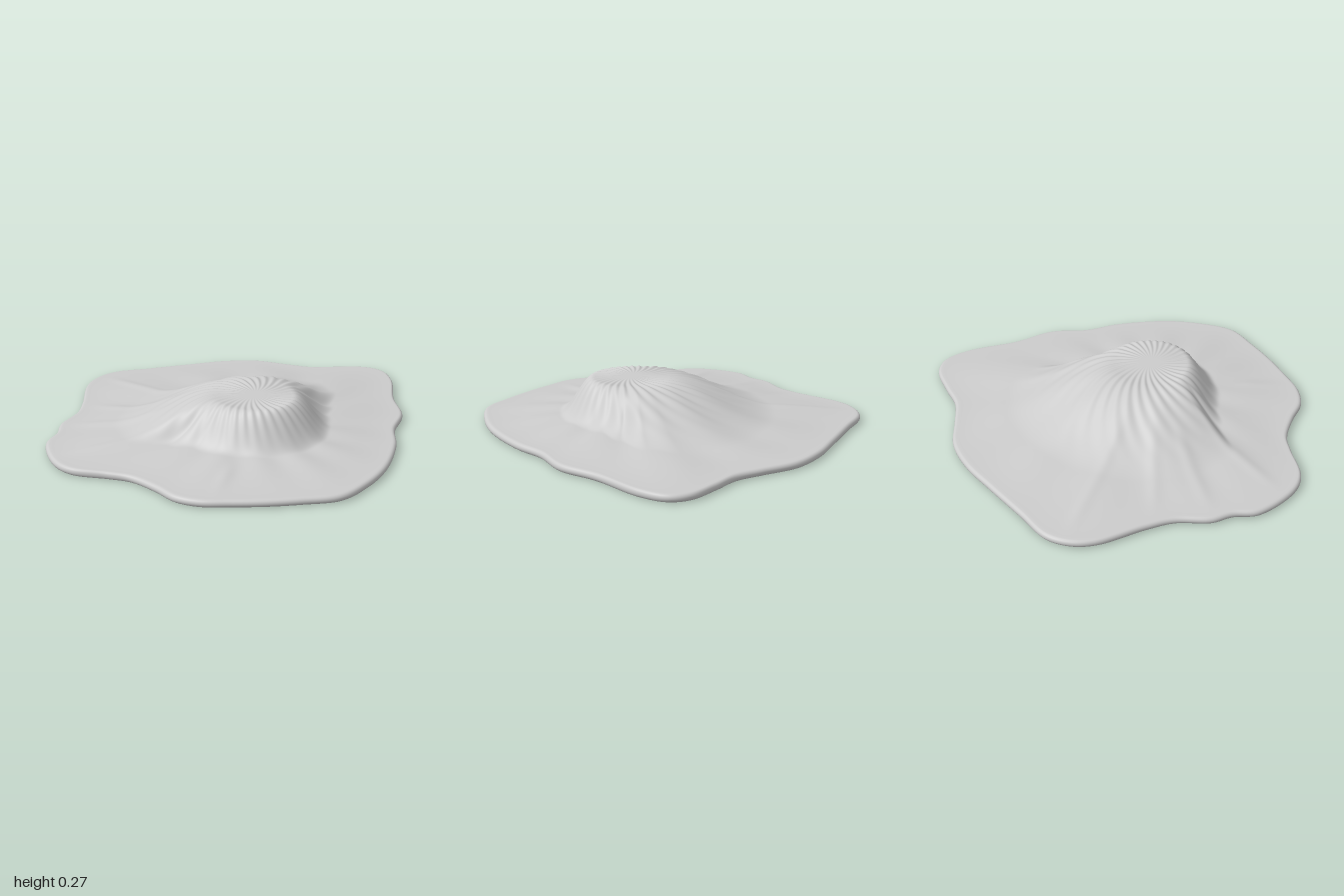
import * as THREE from 'three';

const CX = 0.15, CZ = 0.15;          // middle of the raised crown
const RIM = 0.021;                   // half thickness of the rounded hem
const COLS = 360, RINGS = 80, ARC = 8;

// wavy outline of the sheet, x and z
const OUTLINE = [
  [0, -1], [0.2, -0.965], [0.36, -0.94], [0.52, -0.97], [0.7, -0.99], [0.8, -0.94], [0.86, -0.8],
  [0.885, -0.5], [0.94, -0.27], [0.905, -0.05], [0.92, 0.15], [0.88, 0.45], [0.8, 0.65], [0.68, 0.82],
  [0.5, 0.89], [0.33, 0.94], [0.15, 0.975], [0, 0.995], [-0.13, 0.965], [-0.25, 0.87], [-0.4, 0.78],
  [-0.52, 0.76], [-0.72, 0.74], [-0.83, 0.66], [-0.94, 0.43], [-0.92, 0.3], [-0.935, 0.18],
  [-0.89, 0], [-0.9, -0.15], [-0.945, -0.42], [-0.92, -0.55], [-0.84, -0.66], [-0.65, -0.75],
  [-0.4, -0.87], [-0.2, -0.96],
];

// distance of the slope's foot from the crown's middle, by angle in degrees from +x towards +z
const FOOT = [
  [0, 0.41], [45, 0.4], [90, 0.385], [115, 0.4], [130, 0.42], [145, 0.51], [158, 0.72], [180, 0.78],
  [225, 0.8], [270, 0.82], [290, 0.8], [302, 0.72], [315, 0.55], [330, 0.45], [345, 0.42], [360, 0.41],
];

const smooth = THREE.MathUtils.smoothstep;
const lerp = THREE.MathUtils.lerp;

function footAt(angle) {
  const deg = ((angle * 180 / Math.PI) + 360) % 360;
  const k = FOOT.findIndex(([a], n) => n > 0 && deg <= a);
  const [a0, r0] = FOOT[k - 1], [a1, r1] = FOOT[k];
  return lerp(r0, r1, smooth(deg, a0, a1));
}

// height of the cloth: flat crown, slope, then a brim that falls gently to the hem
function heightAt(r, angle, edge) {
  const foot = footAt(angle);
  const brim = lerp(0.075, 2 * RIM, smooth(r, foot * 0.8, edge));
  let y = lerp(0.27, brim, smooth(r, 0.21, foot));
  // swirling gathers round the crown
  const gather = smooth(r, 0.04, 0.24) * (1 - smooth(r, 0.26, foot * 0.95));
  y -= 0.007 * gather * (0.5 + 0.5 * Math.cos(34 * (angle + 1.1 * r)));
  // broad soft folds running out over the long slope
  const fold = smooth(r, 0.25, 0.45) * (1 - smooth(r, foot, edge));
  y += 0.004 * fold * Math.cos(13 * angle + 2 * r);
  // a few faint creases that reach the hem
  for (const a of [1.68, 2.72, 3.1, 3.38, 3.75]) {
    const d = (((angle + 2 * Math.PI) % (2 * Math.PI)) - a) * r / 0.035;
    y += 0.006 * Math.exp(-d * d) * smooth(r, 0.4, 0.6) * (1 - smooth(r, edge - 0.25, edge));
  }
  return y;
}

export function createModel() {
  const group = new THREE.Group();
  group.name = 'drapedCloth';
  const material = new THREE.MeshStandardMaterial({ color: 0xcccccc });
  const curve = new THREE.CatmullRomCurve3(OUTLINE.map(([x, z]) => new THREE.Vector3(x, 0, z)), true);
  const rim = curve.getSpacedPoints(COLS).slice(0, COLS);

  // cloth top and rounded hem, one radial cross-section per column
  const rows = RINGS + ARC + 1;
  const pos = [], index = [];
  const base = new THREE.Shape();
  rim.forEach((p, j) => {
    const dx = p.x - CX, dz = p.z - CZ;
    const R = Math.hypot(dx, dz), angle = Math.atan2(dz, dx), inner = R - RIM;
    const put = (r, y) => pos.push(CX + dx / R * r, y, CZ + dz / R * r);
    for (let i = 0; i <= RINGS; i++) {
      const r = inner * Math.max(i / RINGS, 0.0005);
      put(r, heightAt(r, angle, inner));
    }
    for (let i = 1; i <= ARC; i++) {
      const a = Math.PI * i / ARC;
      put(inner + RIM * Math.sin(a), RIM + RIM * Math.cos(a));
    }
    const bx = CX + dx / R * inner, bz = CZ + dz / R * inner;
    if (j === 0) base.moveTo(bx, bz); else base.lineTo(bx, bz);
    const next = (j + 1) % COLS;
    for (let i = 0; i < rows - 1; i++) {
      const a = j * rows + i, c = next * rows + i;
      index.push(a, c, a + 1, a + 1, c, c + 1);
    }
  });
  const geometry = new THREE.BufferGeometry();
  geometry.setAttribute('position', new THREE.Float32BufferAttribute(pos, 3));
  geometry.setIndex(index);
  geometry.computeVertexNormals();
  const cloth = new THREE.Mesh(geometry, material);
  cloth.name = 'cloth';

  // flat underside
  const underside = new THREE.Mesh(new THREE.ShapeGeometry(base).rotateX(Math.PI / 2), material);
  underside.name = 'underside';

  group.add(cloth, underside);
  return group;
}
